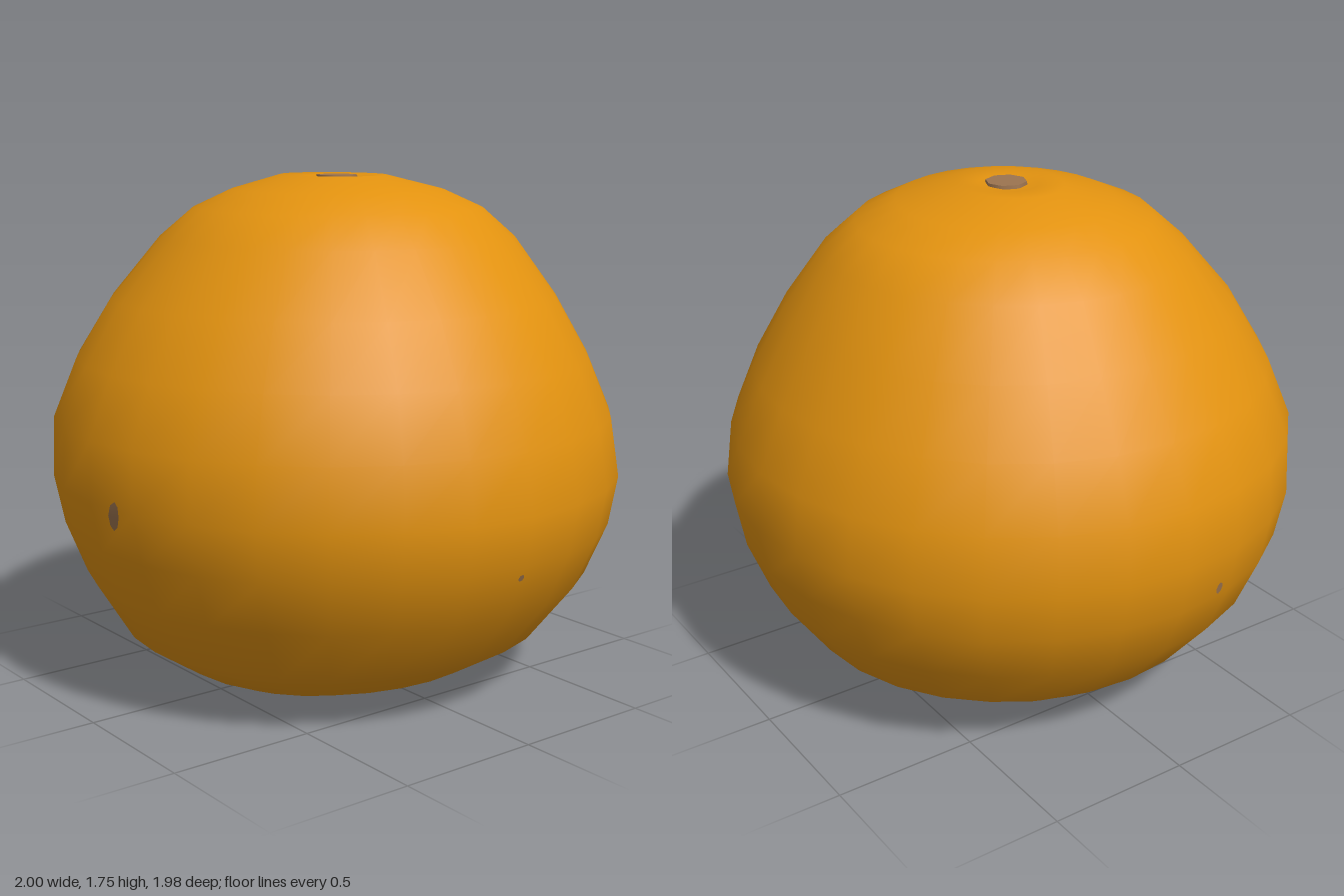
import * as THREE from 'three';

// Rings of the fruit from bottom to top: height, then radius towards +x, +z, -x, -z
const RINGS = [
  [0.02, 0.10, 0.10, 0.10, 0.10],
  [0.01, 0.22, 0.22, 0.16, 0.20],
  [0.03, 0.39, 0.47, 0.46, 0.40],
  [0.08, 0.53, 0.58, 0.57, 0.55],
  [0.20, 0.73, 0.76, 0.73, 0.75],
  [0.40, 0.89, 0.88, 0.895, 0.89],
  [0.58, 0.97, 0.95, 0.97, 0.96],
  [0.75, 1.00, 0.985, 1.00, 0.99],
  [0.95, 0.965, 0.98, 0.985, 0.965],
  [1.15, 0.89, 0.90, 0.895, 0.875],
  [1.35, 0.77, 0.78, 0.765, 0.765],
  [1.55, 0.60, 0.60, 0.62, 0.635],
  [1.65, 0.49, 0.49, 0.49, 0.52],
  [1.71, 0.37, 0.35, 0.38, 0.38],
  [1.76, 0.19, 0.17, 0.21, 0.17],
  [1.755, 0.10, 0.10, 0.11, 0.10],
];
const SEGMENTS = 28;

// Blend the four directional radii of a ring around the axis
function ringRadius(ring, a) {
  const c = Math.cos(a), s = Math.sin(a);
  return c * c * (c > 0 ? ring[1] : ring[3]) + s * s * (s > 0 ? ring[2] : ring[4]);
}

// Skin radius at a given angle and height on the side of the fruit
function skinRadius(a, y) {
  const i = RINGS.findIndex((r, k) => k > 2 && r[0] >= y);
  const lo = RINGS[i - 1], hi = RINGS[i];
  return THREE.MathUtils.lerp(ringRadius(lo, a), ringRadius(hi, a), (y - lo[0]) / (hi[0] - lo[0]));
}

function buildGeometry(positions, index) {
  const g = new THREE.BufferGeometry();
  g.setAttribute('position', new THREE.Float32BufferAttribute(positions, 3));
  g.setIndex(index);
  g.computeVertexNormals();
  return g;
}

// Closed, slightly uneven skin with shallow dimples at both ends
function skinGeometry() {
  const pos = [], index = [], n = SEGMENTS;
  for (const ring of RINGS) {
    for (let j = 0; j < n; j++) {
      const a = (j / n) * Math.PI * 2, r = ringRadius(ring, a);
      pos.push(r * Math.cos(a), ring[0], r * Math.sin(a));
    }
  }
  const bottom = RINGS.length * n, top = bottom + 1, last = (RINGS.length - 1) * n;
  pos.push(0, 0.035, 0, 0, 1.74, 0);
  for (let j = 0; j < n; j++) {
    const k = (j + 1) % n;
    index.push(bottom, j, k, top, last + k, last + j);
    for (let i = 0; i < last; i += n) {
      index.push(i + j, i + n + j, i + k, i + k, i + n + j, i + n + k);
    }
  }
  return buildGeometry(pos, index);
}

// Thin oval blemish that follows the skin
function spotGeometry(angle, y, halfWidth, halfHeight, lean) {
  const pos = [], index = [], sides = 8;
  const add = (a, h) => {
    const r = skinRadius(a, h) + 0.004;
    pos.push(r * Math.cos(a), h, r * Math.sin(a));
  };
  add(angle, y);
  for (let k = 0; k < sides; k++) {
    const p = (k / sides) * Math.PI * 2;
    add(angle + Math.sin(p) * halfWidth - Math.cos(p) * lean, y + Math.cos(p) * halfHeight);
    index.push(0, k + 1, ((k + 1) % sides) + 1);
  }
  return buildGeometry(pos, index);
}

export function createModel() {
  const group = new THREE.Group();
  group.name = 'orangeFruit';
  const peel = new THREE.MeshStandardMaterial({ color: 0xe2920f });
  peel.name = 'orange peel';
  const brown = new THREE.MeshStandardMaterial({ color: 0x9c7450 });
  brown.name = 'stem brown';

  const add = (name, geometry, material) => {
    const mesh = new THREE.Mesh(geometry, material);
    mesh.name = name;
    group.add(mesh);
    return mesh;
  };

  add('skin', skinGeometry(), peel);

  // Stem scar sitting in the top dimple
  const stem = add('stemScar', new THREE.CylinderGeometry(0.07, 0.075, 0.03, 8), brown);
  stem.position.set(0.01, 1.745, 0);

  // Blemishes: angle, height, half width, half height, lean
  add('frontSpot', spotGeometry(1.438, 0.73, 0.027, 0.05, 0.012), brown);
  add('leftSpot', spotGeometry(0.01, 0.55, 0.012, 0.012, 0), brown);
  add('rightSpot', spotGeometry(2.98, 0.62, 0.015, 0.022, 0), brown);

  return group;
}
